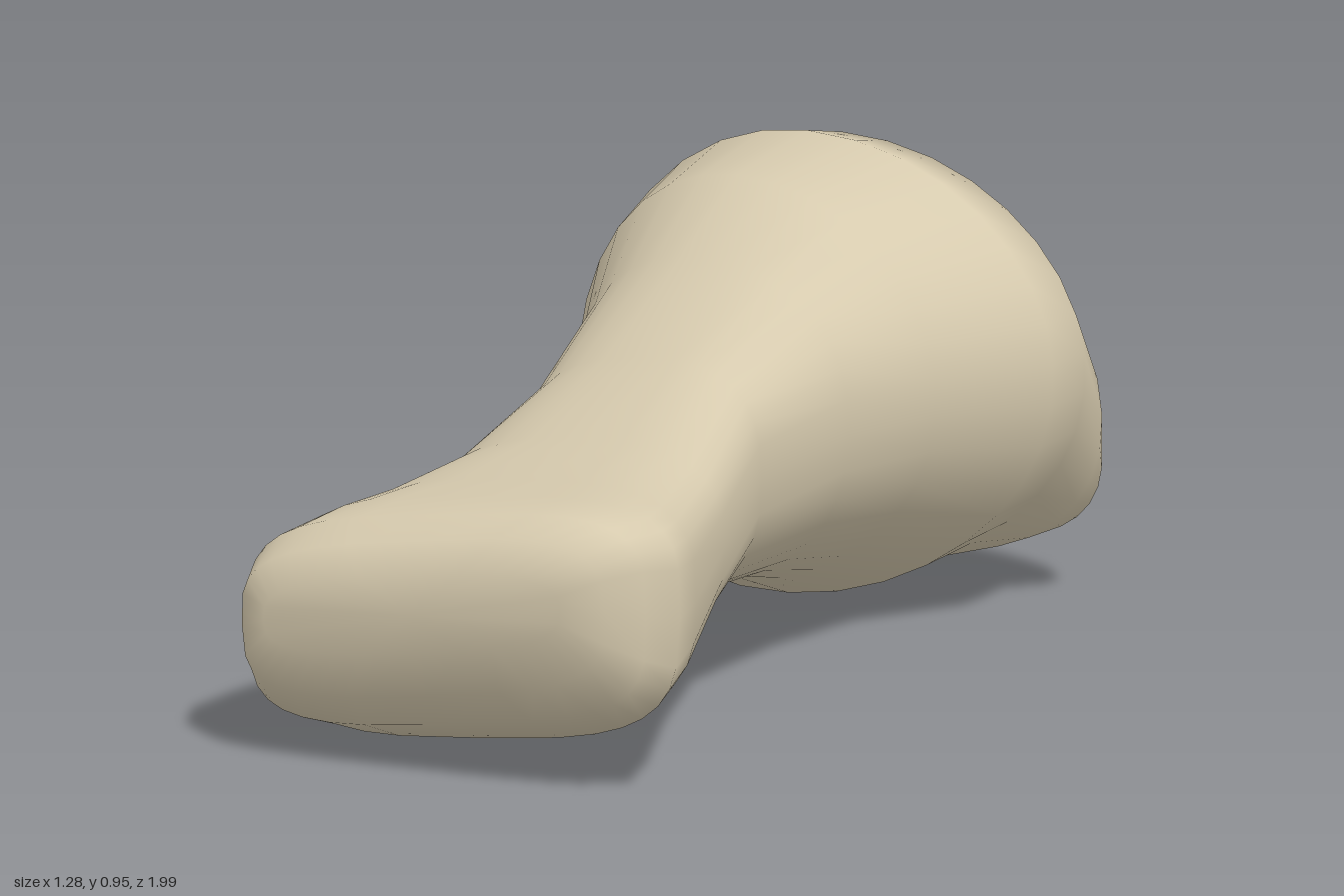
import * as THREE from 'three';

const SIDES = 32;

// Cross-sections from the front end to the back of the head:
// centre x, y, z | half width, half height | squareness | slope of y over x | lean of x over y |
// tilt of z over x, over y | narrowing towards +x
const frontEnd = [
  [0.17, 0.36, 0.92, 0.32, 0.08, 3.0, 0.17, 0, -0.25, 0.08, 0],
  [0.17, 0.345, 0.885, 0.39, 0.16, 3.6, 0.17, 0, -0.25, 0.06, 0],
  [0.175, 0.33, 0.82, 0.435, 0.215, 3.8, 0.16, 0, -0.22, 0.02, 0],
  [0.18, 0.315, 0.72, 0.455, 0.245, 3.6, 0.15, 0, -0.14, -0.04, 0],
  [0.165, 0.328, 0.60, 0.435, 0.237, 3.2, 0.15, 0, -0.08, 0, 0],
];
const shaft = [
  [0.10, 0.37, 0.35, 0.37, 0.21, 2.8, 0.15, 0, -0.04, 0, 0],
  [0.04, 0.435, 0.10, 0.32, 0.245, 2.6, 0.18, 0, 0, 0, 0],
  [-0.03, 0.48, -0.19, 0.36, 0.325, 2.3, 0.09, 0.04, 0, 0, 0.06],
  [-0.11, 0.49, -0.42, 0.445, 0.41, 2.1, 0.02, 0.10, -0.05, 0, 0.12],
];
const head = [
  [-0.11, 0.478, -0.61, 0.525, 0.473, 2.08, 0, 0.16, -0.16, 0, 0.13],
  [-0.11, 0.475, -0.74, 0.50, 0.45, 2.08, 0, 0.15, -0.16, 0.05, 0.12],
  [-0.04, 0.415, -0.825, 0.42, 0.35, 2.1, 0, 0.08, -0.14, 0.15, 0],
  [0.05, 0.33, -0.89, 0.29, 0.23, 2.0, 0, 0, -0.12, 0.23, 0],
  [0.11, 0.27, -0.965, 0.16, 0.11, 2.0, 0, 0, -0.06, 0.15, 0],
];

const power = (v, n) => Math.sign(v) * Math.abs(v) ** (2 / n);

function loft(sections, frontTip, backTip) {
  const pos = [], idx = [];
  for (const [cx, cy, cz, a, b, n, slope, lean, zx, zy, narrow] of sections) {
    for (let j = 0; j < SIDES; j++) {
      const t = (j / SIDES) * Math.PI * 2;
      const u = a * power(Math.cos(t), n);
      const v = b * power(Math.sin(t), n) * (1 - narrow * Math.cos(t));
      const dx = u + lean * v, dy = v + slope * u;
      pos.push(cx + dx, cy + dy, cz + zx * dx + zy * dy);
    }
  }
  const last = (sections.length - 1) * SIDES;
  const front = sections.length * SIDES, back = front + 1;
  pos.push(...frontTip, ...backTip);
  for (let j = 0; j < SIDES; j++) {
    const k = (j + 1) % SIDES;
    for (let r = 0; r < last; r += SIDES) {
      idx.push(r + j, r + SIDES + j, r + k, r + k, r + SIDES + j, r + SIDES + k);
    }
    idx.push(front, j, k, back, last + k, last + j);
  }
  const geo = new THREE.BufferGeometry();
  geo.setAttribute('position', new THREE.Float32BufferAttribute(pos, 3));
  geo.setIndex(idx);
  geo.computeVertexNormals();
  return geo;
}

export function createModel() {
  const boneTan = new THREE.MeshStandardMaterial({ color: 0xd6caae });
  boneTan.name = 'boneTan';

  // One continuous skin: boxy front end, twisting waisted shaft, round head bulging low at the back
  const bone = new THREE.Mesh(
    loft([...frontEnd, ...shaft, ...head], [0.17, 0.36, 0.925], [0.12, 0.26, -0.995]),
    boneTan
  );
  bone.name = 'bone';

  const group = new THREE.Group();
  group.name = 'boneModel';
  group.add(bone);
  return group;
}
